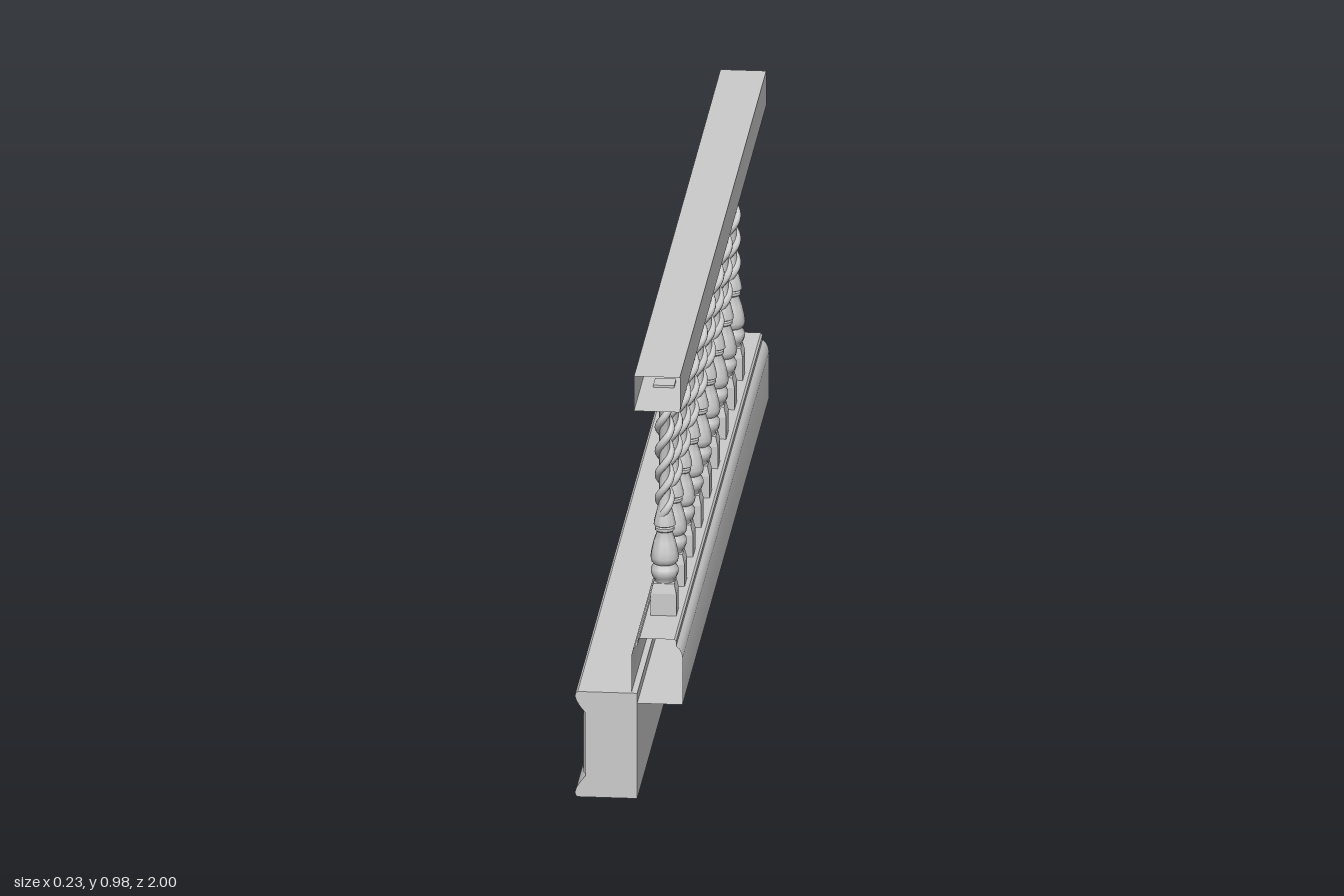
import * as THREE from 'three';
import { mergeGeometries, toCreasedNormals } from 'three/addons/utils/BufferGeometryUtils.js';

const AXIS_X = 0.061; // centre line of the rails and balusters
const grey = new THREE.MeshStandardMaterial({ color: 0xcccccc });
const greyOpen = new THREE.MeshStandardMaterial({ color: 0xcccccc, side: THREE.DoubleSide });

function addMesh(parent, name, geometry, material = grey) {
  const mesh = new THREE.Mesh(geometry, material);
  mesh.name = name;
  parent.add(mesh);
  return mesh;
}

// Runs an (x, y) outline along the full length in z
function extrudeAlong(points, capped = true) {
  const shape = new THREE.Shape(points.map(([x, y]) => new THREE.Vector2(x, y)));
  const geo = new THREE.ExtrudeGeometry(shape, { depth: 2, bevelEnabled: false });
  geo.translate(0, 0, -1);
  if (!capped) {
    // Keep only the side walls, leaving a hollow tube
    const { start, count } = geo.groups[1];
    for (const key of Object.keys(geo.attributes)) {
      const a = geo.attributes[key];
      geo.setAttribute(key, new THREE.BufferAttribute(
        a.array.slice(start * a.itemSize, (start + count) * a.itemSize), a.itemSize));
    }
  }
  geo.clearGroups();
  return toCreasedNormals(geo, 0.6);
}

// Outline mirrored about x = AXIS_X, given its right half from bottom to top
function symmetricOutline(half) {
  const right = half.map(([x, y]) => [AXIS_X + x, y]);
  const left = half.map(([x, y]) => [AXIS_X - x, y]).reverse();
  return [...right, ...left];
}

// Square block whose half width follows [halfWidth, y] pairs
function squareTurning(profile) {
  const pts = profile.map(([h, y]) => new THREE.Vector2(h * Math.SQRT2, y));
  const geo = new THREE.LatheGeometry(pts, 4);
  geo.rotateY(Math.PI / 4);
  return toCreasedNormals(geo, 0.2);
}

// One rope of the barley twist
class Helix extends THREE.Curve {
  constructor(phase) {
    super();
    this.phase = phase;
  }
  getPoint(t, target = new THREE.Vector3()) {
    const a = this.phase + t * Math.PI * 2 * 2.5;
    const r = 0.0135 - 0.005 * Math.pow(Math.abs(2 * t - 1), 8);
    return target.set(r * Math.cos(a), 0.575 + 0.275 * t, -r * Math.sin(a));
  }
}

// Raised field with sloping borders, facing -x
function panelGeometry(length, height) {
  const rect = (inset) => {
    const w = length / 2 - inset, h = height / 2 - inset;
    return [[-w, -h], [w, -h], [w, h], [-w, h]];
  };
  const loops = [[0, 0], [0.003, 0.005], [0.015, 0.008]];
  const pos = [];
  const index = [];
  for (const [inset, out] of loops) {
    for (const [z, y] of rect(inset)) pos.push(-out, y, z);
  }
  for (let k = 0; k < loops.length - 1; k++) {
    for (let i = 0; i < 4; i++) {
      const a = k * 4 + i, b = k * 4 + (i + 1) % 4;
      index.push(a, b, b + 4, a, b + 4, a + 4);
    }
  }
  index.push(8, 9, 10, 8, 10, 11);
  const geo = new THREE.BufferGeometry();
  geo.setAttribute('position', new THREE.Float32BufferAttribute(pos, 3));
  geo.setIndex(index);
  return toCreasedNormals(geo, 0.1);
}

export function createModel() {
  const model = new THREE.Group();
  model.name = 'balustrade';

  // Plinth with a moulded lip at top and bottom of its outer face
  const height = 0.243;
  const lip = [[-0.112, 0], [-0.117, 0.004], [-0.118, 0.011], [-0.115, 0.021],
    [-0.107, 0.034], [-0.099, 0.044], [-0.095, 0.049]];
  const outer = [...lip, ...lip.map(([x, y]) => [x, height - y]).reverse()];
  addMesh(model, 'plinth', extrudeAlong([[0.018, height], [0.018, 0], ...outer]));

  // Alternating long and short raised panels
  const panels = new THREE.Group();
  panels.name = 'plinthPanels';
  model.add(panels);
  const longPanel = panelGeometry(0.32, 0.145);
  const shortPanel = panelGeometry(0.14, 0.145);
  for (let i = 0; i < 4; i++) {
    const z = -1 + i * 0.5;
    addMesh(panels, 'longPanel', longPanel).position.set(-0.095, height / 2, z + 0.17);
    addMesh(panels, 'shortPanel', shortPanel).position.set(-0.095, height / 2, z + 0.42);
  }

  // Hollow rails
  const lower = symmetricOutline([[0.056, 0.22], [0.056, 0.328], [0.054, 0.338],
    [0.049, 0.348], [0.042, 0.354], [0.042, 0.365], [0.038, 0.37]]);
  addMesh(model, 'lowerRail', extrudeAlong(lower, false), greyOpen);
  const upper = symmetricOutline([[0.05, 0.895], [0.05, 0.975]]);
  addMesh(model, 'handrail', extrudeAlong(upper, false), greyOpen);

  // Baluster parts, shared by every copy
  const foot = squareTurning([[0, 0.343], [0.028, 0.343], [0.028, 0.42], [0.023, 0.442], [0, 0.442]]);
  const head = squareTurning([[0, 0.855], [0.017, 0.855], [0.023, 0.872], [0.023, 0.9], [0, 0.9]]);
  const turned = [[0.021, 0.44], [0.022, 0.447], [0.027, 0.453], [0.03, 0.462], [0.03, 0.472],
    [0.026, 0.479], [0.024, 0.483], [0.029, 0.488], [0.031, 0.498], [0.029, 0.513],
    [0.024, 0.535], [0.018, 0.553], [0.018, 0.557], [0.021, 0.56], [0.021, 0.566],
    [0.018, 0.569], [0.024, 0.572], [0.023, 0.582], [0.018, 0.602], [0.013, 0.62],
    [0.012, 0.66], [0.012, 0.835], [0.017, 0.842], [0.022, 0.847], [0.022, 0.853], [0.015, 0.858]];
  const shaft = toCreasedNormals(
    new THREE.LatheGeometry(turned.map(([r, y]) => new THREE.Vector2(r, y)), 20), 0.7);
  const twist = mergeGeometries([0, Math.PI].map(
    (phase) => new THREE.TubeGeometry(new Helix(phase), 72, 0.0085, 8)));

  // Row of nine balusters
  for (let i = 0; i < 9; i++) {
    const baluster = new THREE.Group();
    baluster.name = 'baluster';
    addMesh(baluster, 'foot', foot);
    addMesh(baluster, 'shaft', shaft);
    addMesh(baluster, 'twist', twist);
    addMesh(baluster, 'head', head);
    baluster.position.set(AXIS_X, 0, 0.82 - i * 0.192);
    model.add(baluster);
  }
  return model;
}
